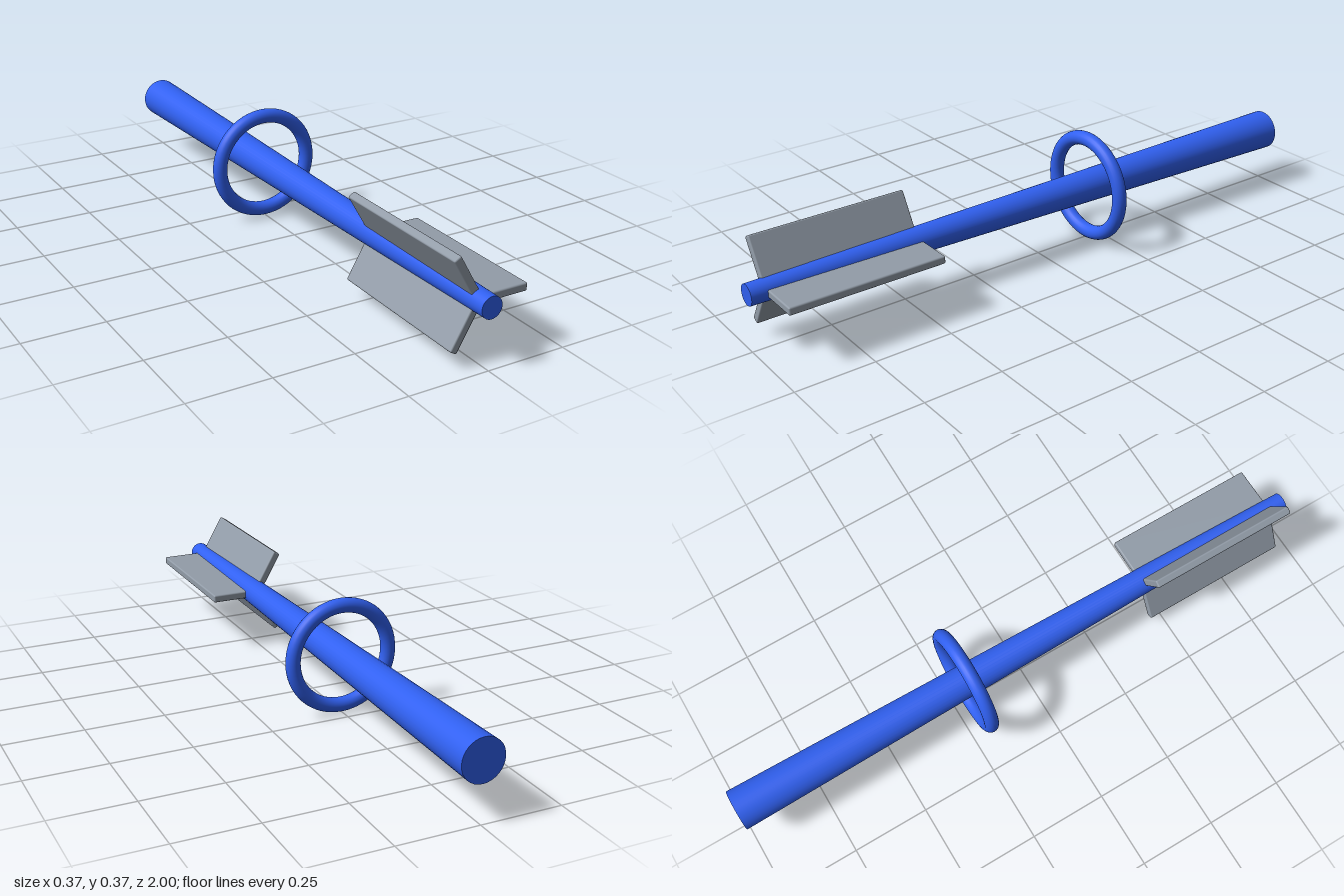
import * as THREE from 'three';
import { RoundedBoxGeometry } from 'three/addons/geometries/RoundedBoxGeometry.js';

export function createModel() {
  const group = new THREE.Group();
  const blue = new THREE.MeshStandardMaterial({ color: 0x3060f0 });
  const grey = new THREE.MeshStandardMaterial({ color: 0x929ca8 });
  const axisY = 0.184;

  const add = (name, geometry, material, parent = group) => {
    const mesh = new THREE.Mesh(geometry, material);
    mesh.name = name;
    parent.add(mesh);
    return mesh;
  };

  // Tapered shaft along z, thin at the front and thick at the back
  const shaft = add('shaft', new THREE.CylinderGeometry(0.033, 0.066, 2, 32), blue);
  shaft.rotation.x = Math.PI / 2;
  shaft.position.y = axisY;

  // Round guard ring encircling the shaft
  const ring = add('guardRing', new THREE.TorusGeometry(0.16, 0.023, 20, 64), blue);
  ring.position.set(0, axisY, -0.2);

  // Three softly edged fins, rooted inside the shaft
  const inner = 0.01, outer = 0.156;
  const finGeometry = new RoundedBoxGeometry(outer - inner, 0.025, 0.5, 2, 0.005);
  finGeometry.translate((inner + outer) / 2, 0, 0);
  const fins = new THREE.Group();
  fins.name = 'fins';
  fins.position.set(0, axisY, 0.7);
  for (let i = 0; i < 3; i++) {
    add('fin' + (i + 1), finGeometry, grey, fins).rotation.z = (i * 2 * Math.PI) / 3;
  }
  group.add(fins);

  return group;
}
